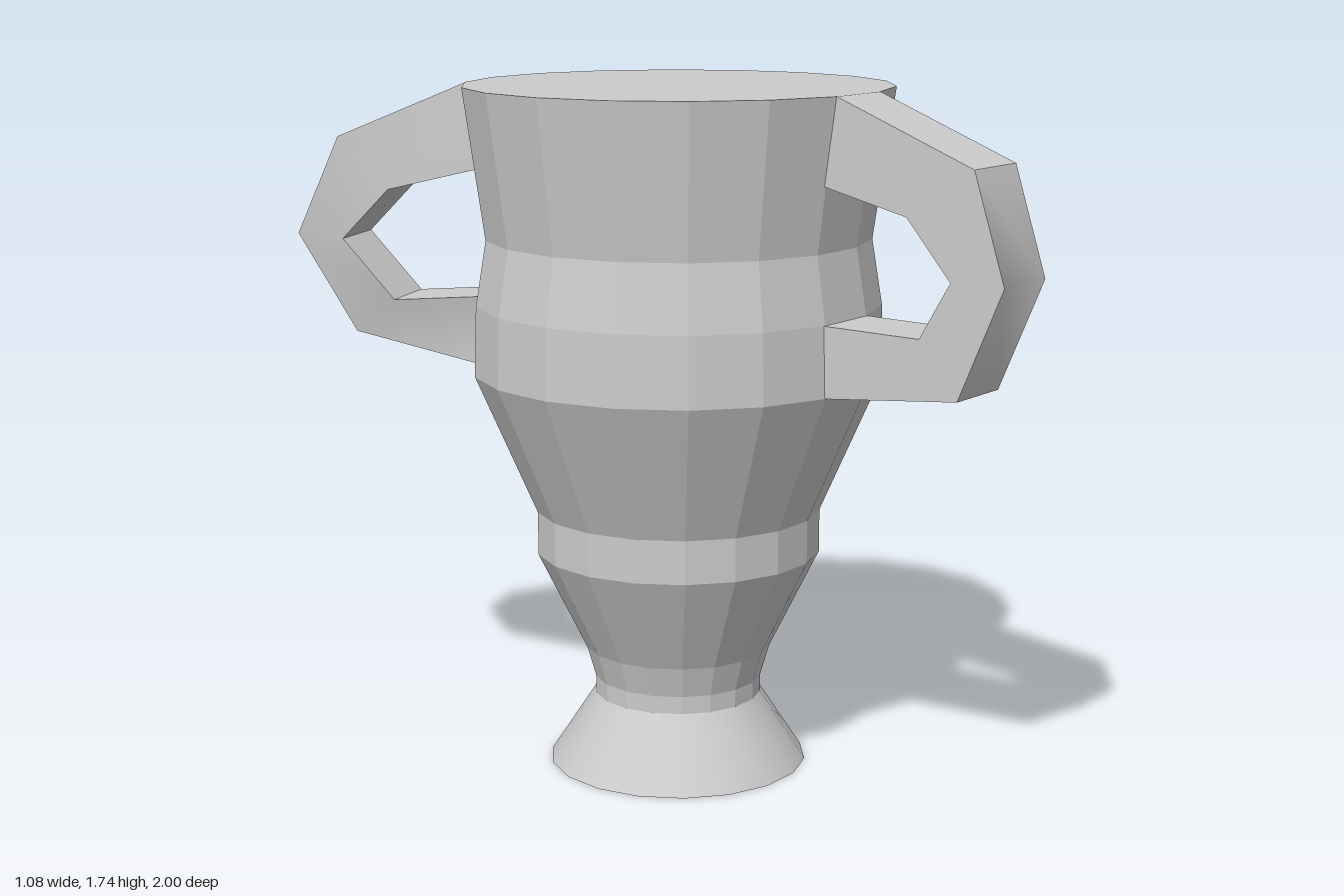
import * as THREE from 'three';
import { toCreasedNormals } from 'three/addons/utils/BufferGeometryUtils.js';

const SIDES = 18;
const START = Math.PI / SIDES; // puts a flat facet towards +z

function lathe(profile) {
  return new THREE.LatheGeometry(profile.map(([r, y]) => new THREE.Vector2(r, y)), SIDES, START);
}

// Angular loop handle: outer and inner edge lines (top to bottom) swept across a width vector
function handleGeometry(outer, inner, width) {
  const pos = [];
  const w = new THREE.Vector3(...width);
  const o = outer.map(p => new THREE.Vector3(...p));
  const n = inner.map(p => new THREE.Vector3(...p));
  const o2 = o.map(p => p.clone().add(w));
  const n2 = n.map(p => p.clone().add(w));
  const quad = (a, b, c, d) => [a, b, c, a, c, d].forEach(p => pos.push(p.x, p.y, p.z));
  for (let i = 0; i < o.length - 1; i++) {
    quad(o[i], o[i + 1], o2[i + 1], o2[i]); // outside
    quad(n[i], n2[i], n2[i + 1], n[i + 1]); // inside
    quad(o[i], n[i], n[i + 1], o[i + 1]); // near side
    quad(o2[i], o2[i + 1], n2[i + 1], n2[i]); // far side
  }
  const g = new THREE.BufferGeometry();
  g.setAttribute('position', new THREE.Float32BufferAttribute(pos, 3));
  return toCreasedNormals(g, Math.PI / 4);
}

export function createModel() {
  const group = new THREE.Group();
  const flat = new THREE.MeshStandardMaterial({ color: 0xcccccc, flatShading: true });
  const smooth = new THREE.MeshStandardMaterial({ color: 0xcccccc });
  const add = (name, geometry, material) => {
    const mesh = new THREE.Mesh(geometry, material);
    mesh.name = name;
    group.add(mesh);
    return mesh;
  };

  // Faceted vessel with closed top
  const vessel = add('vessel', lathe([
    [0.215, 0.18], [0.215, 0.225], [0.238, 0.305], [0.363, 0.56], [0.363, 0.67],
    [0.517, 1.025], [0.512, 1.2], [0.485, 1.365], [0.538, 1.74], [0, 1.74],
  ]), flat);

  // Smooth flared foot and its underside
  const foot = add('foot', lathe([[0.332, 0], [0.215, 0.18]]), smooth);
  const base = add('footBase', new THREE.CircleGeometry(0.332, SIDES), smooth);
  base.geometry.rotateX(Math.PI / 2);
  for (const part of [vessel, foot, base]) part.position.set(-0.003, 0, 0.015);

  // Straight handle on the front facet
  const straight = pts => pts.map(([z, y]) => [-0.095, y, z]);
  add('frontHandle', handleGeometry(
    straight([[0.545, 1.74], [0.915, 1.595], [1, 1.335], [0.885, 1.062], [0.523, 1.025]]),
    straight([[0.51, 1.53], [0.74, 1.475], [0.86, 1.335], [0.78, 1.197], [0.515, 1.2]]),
    [0.187, 0, 0],
  ), smooth);

  // Slightly twisted handle on the facet beside the back one
  add('backHandle', handleGeometry(
    [[-0.097, 1.74, -0.515], [-0.22, 1.595, -0.848], [-0.222, 1.335, -1], [-0.172, 1.085, -0.845], [-0.092, 1.025, -0.49]],
    [[-0.09, 1.525, -0.48], [-0.185, 1.465, -0.71], [-0.205, 1.33, -0.855], [-0.17, 1.18, -0.71], [-0.09, 1.2, -0.485]],
    [-0.17, 0, 0.065],
  ), smooth);

  return group;
}
